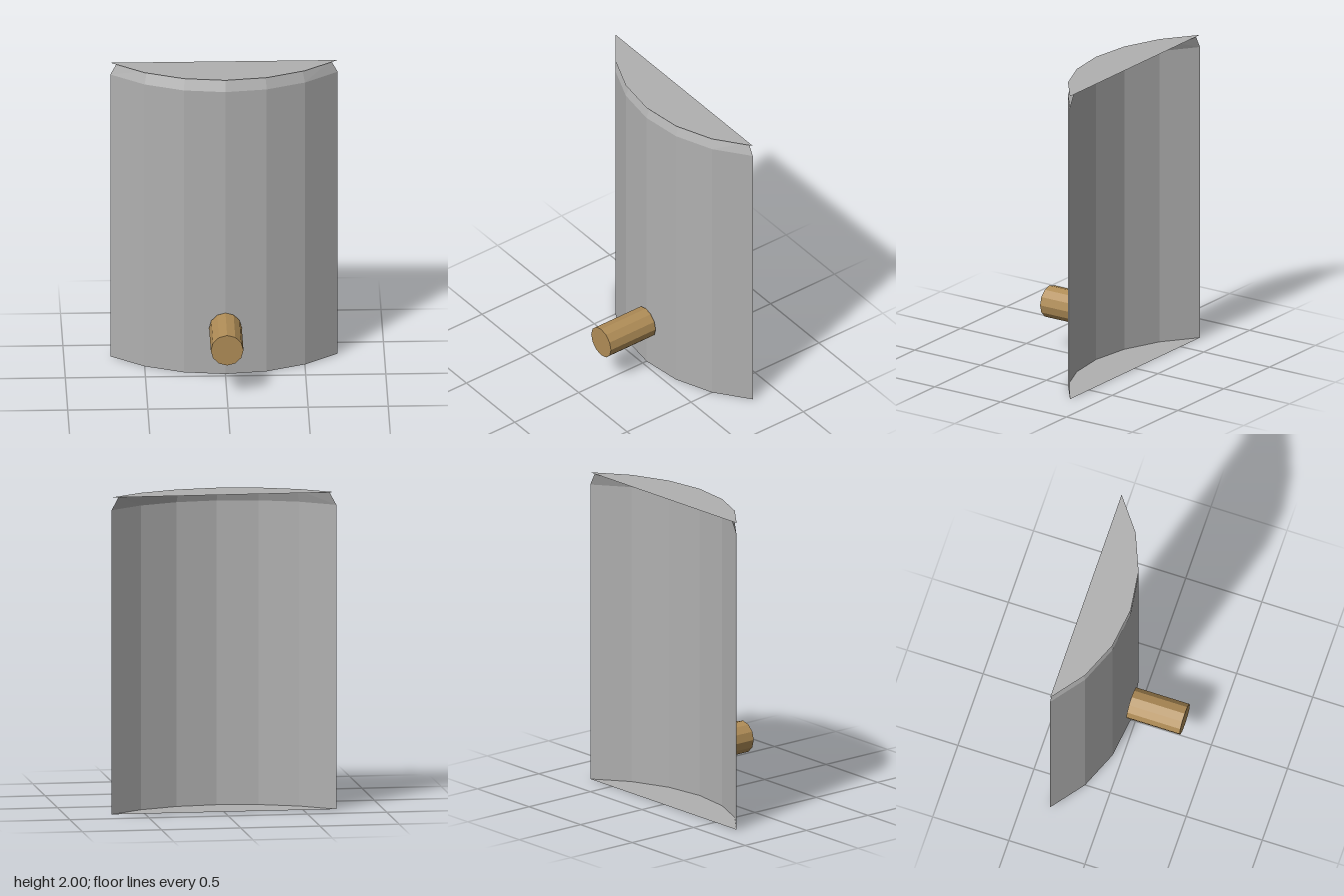
import * as THREE from 'three';

const BACK = -0.325;      // open rear plane
const CENTER = -1.03;     // axis of the curved wall

// Seven points of a 90 degree arc, ends trimmed on the rear plane
function arc(radius) {
  const pts = [];
  for (let i = -3; i <= 3; i++) {
    const a = i * Math.PI / 12;
    pts.push([radius * Math.sin(a), CENTER + radius * Math.cos(a)]);
  }
  const endX = Math.sqrt(radius * radius - (BACK - CENTER) ** 2);
  pts[0] = [-endX, BACK];
  pts[6] = [endX, BACK];
  return pts;
}

// Open strip between two arcs at two heights
function strip(lower, y0, upper, y1) {
  const pos = [];
  for (let i = 0; i < lower.length - 1; i++) {
    const a = [lower[i][0], y0, lower[i][1]], b = [lower[i + 1][0], y0, lower[i + 1][1]];
    const c = [upper[i + 1][0], y1, upper[i + 1][1]], d = [upper[i][0], y1, upper[i][1]];
    pos.push(...a, ...b, ...c, ...a, ...c, ...d);
  }
  const g = new THREE.BufferGeometry();
  g.setAttribute('position', new THREE.Float32BufferAttribute(pos, 3));
  g.computeVertexNormals();
  return g;
}

export function createModel() {
  const group = new THREE.Group();
  const grey = new THREE.MeshStandardMaterial({ color: 0xb0b0b0, flatShading: true, side: THREE.DoubleSide });
  grey.name = 'grey';
  const brass = new THREE.MeshStandardMaterial({ color: 0xb08d57, flatShading: true });
  brass.name = 'brass';

  const add = (name, geometry, material) => {
    const mesh = new THREE.Mesh(geometry, material);
    mesh.name = name;
    group.add(mesh);
    return mesh;
  };

  // Curved wall with a sloped rim, open at the back
  const outer = arc(1), inner = arc(0.97);
  add('curvedWall', strip(outer, 0, outer, 1.92), grey);
  add('slopedRim', strip(outer, 1.92, inner, 2), grey);

  // Flat top and bottom plates in the full outline
  const outline = new THREE.Shape(outer.map(([x, z]) => new THREE.Vector2(x, -z)));
  for (const [name, y] of [['topPlate', 2], ['bottomPlate', 0]]) {
    const g = new THREE.ShapeGeometry(outline);
    g.rotateX(-Math.PI / 2);
    add(name, g, grey).position.y = y;
  }

  // Spout sticking out of the front
  const spout = new THREE.CylinderGeometry(0.102, 0.102, 0.35, 12);
  spout.rotateX(Math.PI / 2);
  add('spout', spout, brass).position.set(0, 0.316, 0.15);

  return group;
}
